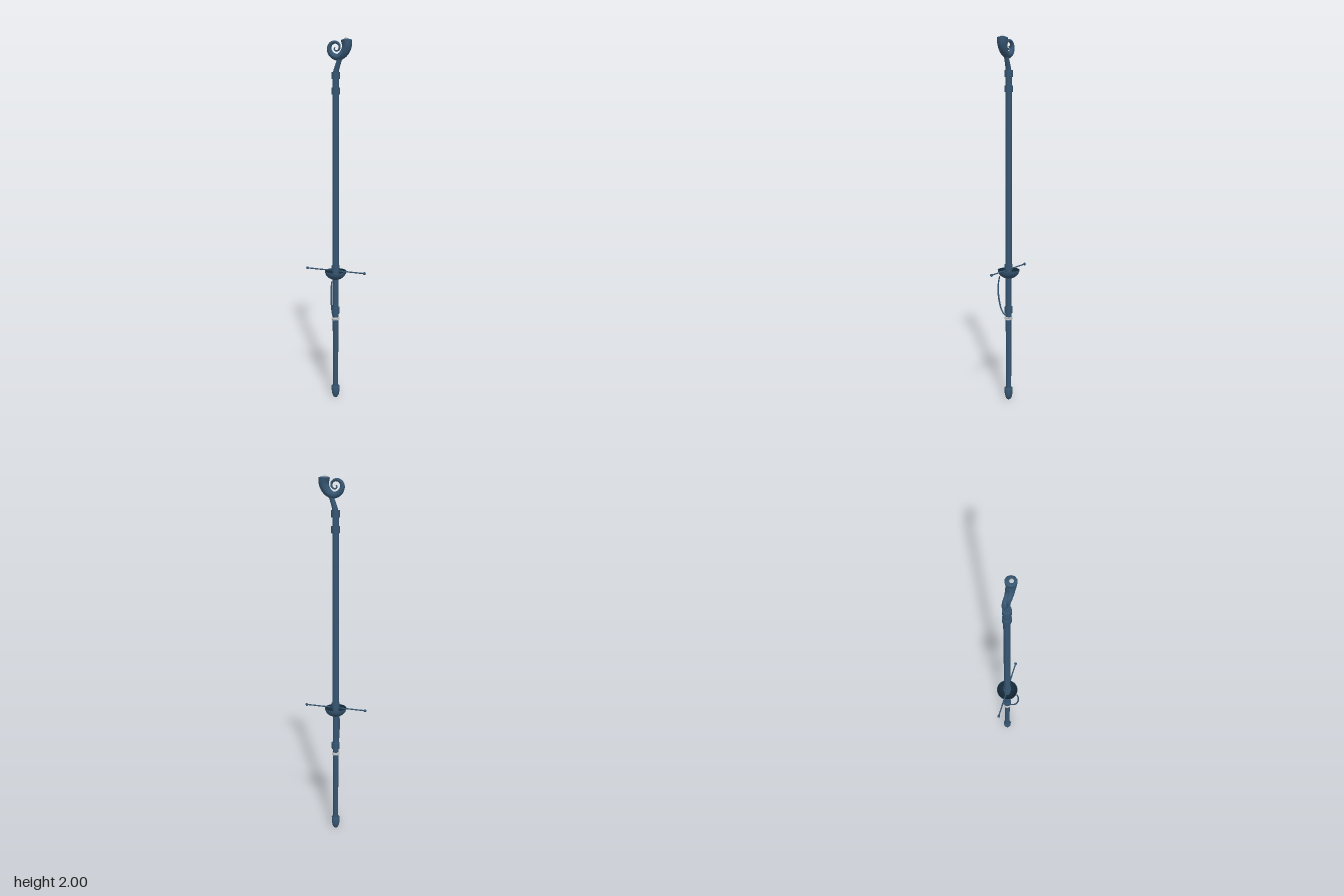
import * as THREE from 'three';

const AXIS_Z = -0.007;

export function createModel() {
  const model = new THREE.Group();
  const staff = new THREE.Group();
  staff.name = 'staff';
  staff.position.z = AXIS_Z;
  model.add(staff);

  const mat = (name, color, side = THREE.FrontSide) => {
    const m = new THREE.MeshStandardMaterial({ color, side });
    m.name = name;
    return m;
  };
  const blue = mat('steel blue', 0x365672);
  const dark = mat('dark hollow', 0x142a38);
  const silver = mat('silver', 0xc4c6c8);

  const add = (name, geometry, material, x = 0, y = 0, z = 0) => {
    const mesh = new THREE.Mesh(geometry, material);
    mesh.name = name;
    mesh.position.set(x, y, z);
    staff.add(mesh);
    return mesh;
  };
  const rod = (name, y0, y1, r0, r1, sides = 12) =>
    add(name, new THREE.CylinderGeometry(r1, r0, y1 - y0, sides), blue, 0, (y0 + y1) / 2);
  const lathe = (pts, sides) =>
    new THREE.LatheGeometry(pts.map(([r, y]) => new THREE.Vector2(r, y)), sides);
  const path = (pts) =>
    new THREE.CatmullRomCurve3(pts.map(([x, y, z = 0]) => new THREE.Vector3(x, y, z)));

  // Tube whose radius follows a rule along its length
  const taperedTube = (curve, steps, sides, radiusAt) => {
    const g = new THREE.TubeGeometry(curve, steps, 1, sides);
    const p = g.attributes.position;
    const v = new THREE.Vector3();
    for (let i = 0; i <= steps; i++) {
      const c = curve.getPointAt(i / steps);
      for (let j = 0; j <= sides; j++) {
        const k = i * (sides + 1) + j;
        v.fromBufferAttribute(p, k).sub(c).multiplyScalar(radiusAt(i / steps)).add(c);
        p.setXYZ(k, v.x, v.y, v.z);
      }
    }
    g.computeVertexNormals();
    return g;
  };

  // Shaft, grip and collars
  rod('lowerShaft', 0.05, 0.5, 0.0145, 0.0165);
  rod('grip', 0.48, 0.72, 0.0165, 0.0165);
  rod('upperShaft', 0.7, 1.8, 0.0185, 0.0175);
  for (const [y0, y1] of [[0.505, 0.54], [0.752, 0.78], [1.71, 1.745], [1.79, 1.825]]) {
    rod('collar', y0, y1, 0.0225, 0.0225, 14);
  }

  // Rounded foot
  add('foot', lathe([[0, 0], [0.011, 0.003], [0.018, 0.016], [0.022, 0.036], [0.023, 0.068], [0.014, 0.07]], 14), blue);

  // Silver binding: two crossed rings and a band
  rod('bindingCore', 0.462, 0.488, 0.0165, 0.0165);
  for (const tilt of [-0.28, 0.28]) {
    const ring = add('bindingRing', new THREE.TorusGeometry(0.0185, 0.0045, 6, 18), silver, 0, 0.475);
    ring.rotation.set(Math.PI / 2, tilt, 0);
  }
  add('bindingBand', new THREE.CylinderGeometry(0.0195, 0.0195, 0.016, 14), silver, 0, 0.475);

  // Cup guard with a dark hollow
  const bowl = (r, d) => Array.from({ length: 9 }, (_, i) => {
    const a = (i / 8) * Math.PI / 2;
    return [r * Math.sin(a), 0.75 - d * Math.cos(a)];
  });
  add('cupOutside', lathe(bowl(0.06, 0.049), 20), blue);
  add('cupInside', lathe(bowl(0.0575, 0.046).reverse(), 20), dark);
  const rim = add('cupRim', new THREE.RingGeometry(0.0575, 0.06, 20), blue, 0, 0.75);
  rim.rotation.x = -Math.PI / 2;

  // Crossbar with ball ends
  const bar = add('crossbar', new THREE.CylinderGeometry(0.0038, 0.0038, 0.335, 8), blue, 0, 0.751);
  bar.rotation.z = Math.PI / 2;
  for (const s of [-1, 1]) {
    add('crossbarBall', new THREE.SphereGeometry(0.008, 10, 8), blue, s * 0.168, 0.751);
  }

  // Knuckle bow in front of the grip
  const bow = path([[0, 0.702, 0.06], [0, 0.675, 0.066], [0, 0.63, 0.069], [0, 0.575, 0.064],
    [0, 0.52, 0.049], [0, 0.495, 0.032], [0, 0.484, 0.012]]);
  add('knuckleBow', taperedTube(bow, 28, 8, (t) => 0.0035 + 0.001 * Math.sin(Math.PI * t)), blue);
  add('bowTip', new THREE.SphereGeometry(0.004, 8, 6), blue, 0, 0.702, 0.06);

  // Neck leaning into the curl
  const neck = path([[0, 1.8], [0.003, 1.83], [0.012, 1.86], [0.023, 1.89], [0.034, 1.91]]);
  add('neck', taperedTube(neck, 14, 10, (t) => 0.016 - 0.005 * t), blue);

  // Horn curling inward from its broad end
  const horn = path([[0.06, 1.986], [0.062, 1.955], [0.046, 1.92], [0.014, 1.9], [-0.02, 1.912],
    [-0.036, 1.942], [-0.025, 1.969], [0.0, 1.976], [0.02, 1.962], [0.02, 1.941],
    [0.004, 1.931], [-0.008, 1.941], [-0.002, 1.95]]);
  add('hornCurl', taperedTube(horn, 72, 10, (t) => 0.003 + 0.0255 * Math.pow(1 - t, 1.3)), blue);

  // Broad end closed by a low dome with a silver stud
  add('hornCap', lathe([[0.0285, 1.984], [0.025, 1.988], [0.016, 1.991], [0, 1.992]], 10), blue, 0.06);
  add('stud', new THREE.SphereGeometry(0.012, 8, 6), silver, 0.058, 1.988, 0.003);

  return model;
}
